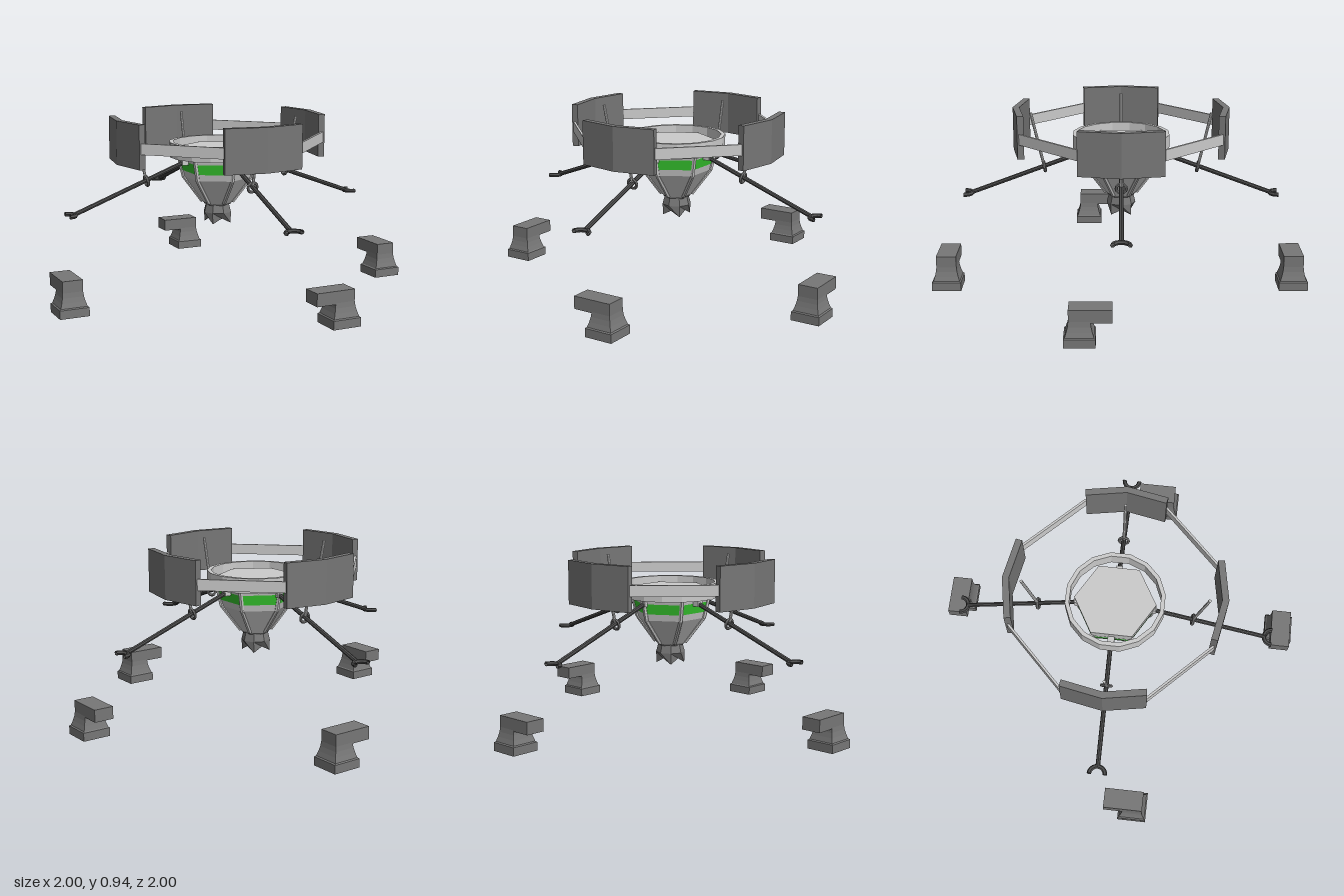
import * as THREE from 'three';

const mat = (color) => new THREE.MeshStandardMaterial({ color, flatShading: true, side: THREE.DoubleSide });
const light = mat(0xcccccc), mid = mat(0x777777), dark = mat(0x4c4c4c), green = mat(0x38cc30);
const V = (x, y, z = 0) => new THREE.Vector3(x, y, z);

function add(parent, name, geometry, material) {
  const mesh = new THREE.Mesh(geometry, material);
  mesh.name = name;
  parent.add(mesh);
  return mesh;
}

function lathe(points, sides, start = 0) {
  return new THREE.LatheGeometry(points.map(([r, y]) => new THREE.Vector2(r, y)), sides, start);
}

function box(w, h, d, x, y, z) {
  return new THREE.BoxGeometry(w, h, d).translate(x, y, z);
}

// Straight bar between two points
function rod(parent, name, a, b, radius, material, sides = 8) {
  const dir = b.clone().sub(a);
  const mesh = add(parent, name, new THREE.CylinderGeometry(radius, radius, dir.length(), sides), material);
  mesh.position.copy(a).addScaledVector(dir, 0.5);
  mesh.quaternion.setFromUnitVectors(V(0, 1), dir.normalize());
  return mesh;
}

// Six-sided central hull with windows, ribs, collar ring and nozzle
function createHull() {
  const hull = new THREE.Group();
  hull.name = 'hull';
  add(hull, 'hullShell', lathe([[0, 0.46], [0.08, 0.46], [0.182, 0.6], [0.208, 0.7], [0.215, 0.765], [0, 0.765]], 6), light);
  add(hull, 'windowBand', lathe([[0.193, 0.635], [0.208, 0.69]], 6), green);
  for (let i = 0; i < 6; i++) {
    const side = new THREE.Group();
    side.name = 'hullRib';
    side.rotation.y = i * Math.PI / 3 + Math.PI / 6;
    hull.add(side);
    rod(side, 'upperRib', V(0.21, 0.715), V(0.184, 0.6), 0.012, light, 6);
    rod(side, 'lowerRib', V(0.184, 0.6), V(0.082, 0.465), 0.011, light, 6);
  }
  add(hull, 'collarRing', lathe([[0.24, 0.715], [0.262, 0.715], [0.262, 0.795], [0.24, 0.795], [0.24, 0.715]], 16, Math.PI / 16), light);
  add(hull, 'nozzleBand', lathe([[0, 0.45], [0.07, 0.45], [0.088, 0.48], [0, 0.48]], 6), mid);

  // Nozzle whose rim drops to a point at each diagonal
  const nozzle = lathe([[0, 0.41], [0.075, 0.372], [0.078, 0.41], [0.062, 0.47]], 8);
  const p = nozzle.attributes.position;
  for (let i = 0; i < p.count; i++) {
    const onDiagonal = Math.abs(p.getX(i) * p.getZ(i)) > 0.001;
    if (Math.abs(p.getY(i) - 0.372) < 0.001) {
      if (onDiagonal) p.setY(i, 0.35);
      else p.setXYZ(i, p.getX(i) * 0.75, 0.378, p.getZ(i) * 0.75);
    }
  }
  add(hull, 'nozzle', nozzle, mid);
  return hull;
}

// One quarter of the frame, pointing along +x
function createQuarter() {
  const quarter = new THREE.Group();
  quarter.name = 'frameQuarter';
  add(quarter, 'legBracket', box(0.04, 0.045, 0.035, 0.195, 0.7, 0), light);
  rod(quarter, 'leg', V(0.19, 0.695), V(0.812, 0.463), 0.012, dark);

  // Open claw at the leg tip
  const claw = new THREE.TorusGeometry(0.042, 0.012, 6, 10, Math.PI).rotateZ(Math.PI / 2).rotateX(Math.PI / 2);
  add(quarter, 'claw', claw, dark).position.set(0.852, 0.46, 0);

  // Collar around the leg and the strut rising from it
  const collar = add(quarter, 'legCollar', new THREE.TorusGeometry(0.026, 0.008, 6, 12).rotateY(Math.PI / 2), mid);
  collar.position.set(0.414, 0.608, 0);
  collar.rotation.z = -0.2;
  rod(quarter, 'strut', V(0.418, 0.62), V(0.483, 0.905), 0.008, light);

  // Bent shield plate
  const outline = [[0.578, 0], [0.538, 0.218], [0.504, 0.212], [0.543, 0], [0.504, -0.212], [0.538, -0.218]];
  const shape = new THREE.Shape(outline.map(([x, y]) => new THREE.Vector2(x, y)));
  const plate = new THREE.ExtrudeGeometry(shape, { depth: 0.23, bevelEnabled: false }).rotateX(-Math.PI / 2);
  add(quarter, 'shield', plate, mid).position.y = 0.705;

  // Rail to the neighbouring shield
  add(quarter, 'shieldRail', box(0.012, 0.057, 0.44, 0.523, 0.812, 0), light).rotation.y = Math.PI / 4;
  return quarter;
}

// Ground pedestal with an arm toward -x
function createPedestal(x, z, turn) {
  const pedestal = new THREE.Group();
  pedestal.name = 'pedestal';
  const profile = [[0, 0], [0.077, 0], [0.077, 0.045], [0.07, 0.05], [0.062, 0.075], [0.056, 0.1], [0.053, 0.125], [0, 0.125]];
  const base = lathe(profile.map(([half, y]) => [half * Math.SQRT2, y]), 4, Math.PI / 4);
  add(pedestal, 'pedestalBase', base, mid);
  add(pedestal, 'pedestalArm', box(0.21, 0.066, 0.106, -0.052, 0.152, 0), mid);
  pedestal.position.set(x, 0, z);
  pedestal.rotation.y = turn;
  return pedestal;
}

export function createModel() {
  const model = new THREE.Group();
  model.name = 'hoveringFrame';

  const craft = new THREE.Group();
  craft.name = 'craft';
  craft.position.set(-0.008, 0, -0.006);
  craft.add(createHull());
  for (let i = 0; i < 4; i++) {
    const quarter = createQuarter();
    quarter.rotation.y = i * Math.PI / 2;
    craft.add(quarter);
  }
  model.add(craft);

  for (const s of [-1, 1]) {
    model.add(createPedestal(0.203, s * 0.923, 0));
    model.add(createPedestal(s * 0.923, 0.193, -Math.PI / 2));
  }
  return model;
}
